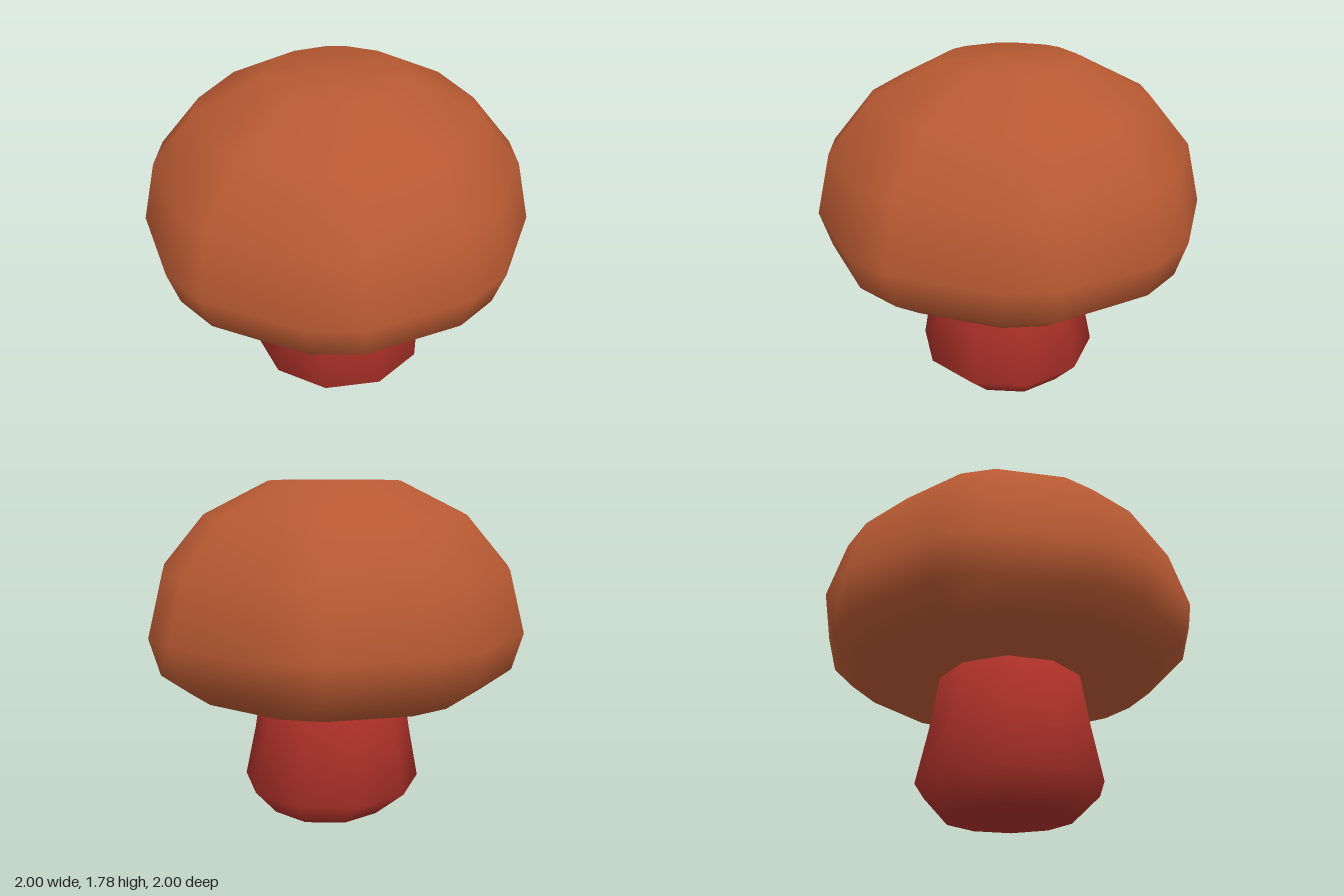
import * as THREE from 'three';

// Smooth closed skin through rings [radius, y, centreX, centreZ], listed bottom to top
function loft(rings, angles) {
  const n = angles.length;
  const pos = [];
  const index = [];
  for (const [r, y, cx = 0, cz = 0] of rings) {
    for (const a of angles) pos.push(cx + r * Math.cos(a), y, cz + r * Math.sin(a));
  }
  for (let k = 0; k < rings.length - 1; k++) {
    for (let i = 0; i < n; i++) {
      const j = (i + 1) % n;
      const a = k * n + i, b = k * n + j, c = a + n, d = b + n;
      index.push(a, c, b, b, c, d);
    }
  }
  // End faces, fanned from a centre point
  const addEnd = (k, up) => {
    const [, y, cx = 0, cz = 0] = rings[k];
    const centre = pos.length / 3;
    pos.push(cx, y, cz);
    for (let i = 0; i < n; i++) {
      const a = k * n + i, b = k * n + (i + 1) % n;
      if (up) index.push(centre, b, a);
      else index.push(centre, a, b);
    }
  };
  addEnd(0, false);
  addEnd(rings.length - 1, true);
  const geometry = new THREE.BufferGeometry();
  geometry.setAttribute('position', new THREE.Float32BufferAttribute(pos, 3));
  geometry.setIndex(index);
  geometry.computeVertexNormals();
  return geometry;
}

export function createModel() {
  const group = new THREE.Group();
  group.name = 'mushroom';
  const capBrown = new THREE.MeshStandardMaterial({ color: 0xb75932 });
  capBrown.name = 'capBrown';
  const stemRed = new THREE.MeshStandardMaterial({ color: 0xaa3028 });
  stemRed.name = 'stemRed';

  // Cap: octagon with clipped corners, two points either side of every 45 degrees
  const capAngles = [];
  for (let i = 0; i < 8; i++) {
    for (const s of [-1, 1]) capAngles.push(THREE.MathUtils.degToRad(i * 45 + s * 7.5));
  }
  const capRings = [
    [0.80, 0.72], [0.955, 0.84], [1.008, 1.03],
    [0.925, 1.345], [0.70, 1.61], [0.35, 1.785],
  ];
  const cap = new THREE.Mesh(loft(capRings, capAngles), capBrown);
  cap.name = 'cap';
  group.add(cap);

  // Stem: ten sides, flared near the foot and slightly off centre
  const stemAngles = Array.from({ length: 10 }, (_, i) => (i * Math.PI) / 5);
  const stemRings = [
    [0.34, 0, 0.025, 0.03], [0.49, 0.145, 0, 0.025],
    [0.435, 0.42, -0.005, 0.025], [0.385, 0.74, -0.005, 0.025],
  ];
  const stem = new THREE.Mesh(loft(stemRings, stemAngles), stemRed);
  stem.name = 'stem';
  group.add(stem);

  return group;
}
